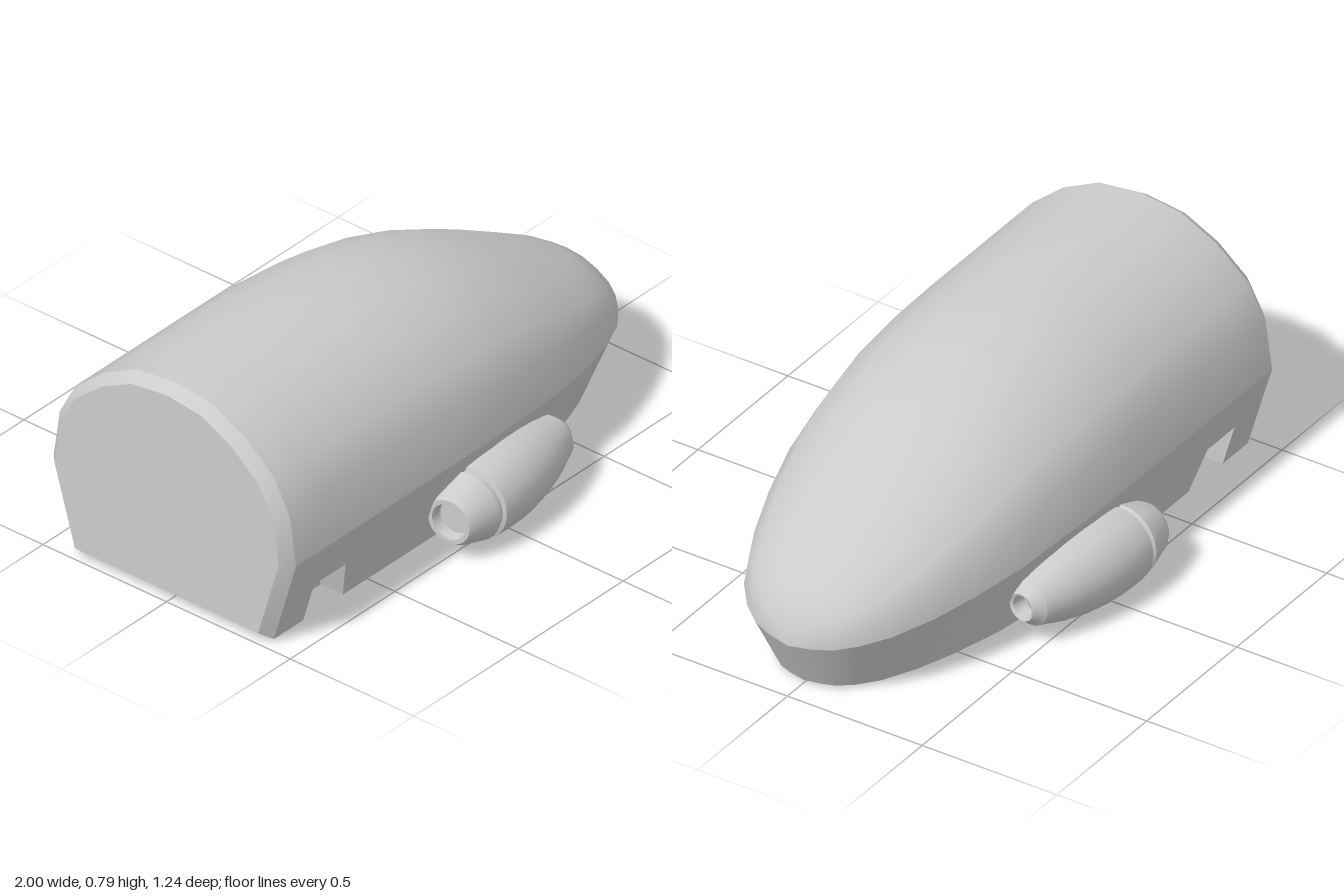
import * as THREE from 'three';
import { toCreasedNormals } from 'three/addons/utils/BufferGeometryUtils.js';

// Hull stations from tail to nose: x, half width at the belt, belt height, roof height
const STATIONS = [
  [-0.96, 0.49, 0.32, 0.795], [-0.82, 0.49, 0.32, 0.795], [-0.67, 0.49, 0.32, 0.795],
  [-0.4, 0.49, 0.32, 0.795], [-0.2, 0.49, 0.32, 0.785], [0, 0.485, 0.315, 0.76],
  [0.18, 0.465, 0.303, 0.72], [0.36, 0.44, 0.285, 0.655], [0.54, 0.395, 0.265, 0.57],
  [0.7, 0.34, 0.245, 0.485], [0.83, 0.275, 0.228, 0.415], [0.91, 0.21, 0.215, 0.36],
  [0.96, 0.145, 0.203, 0.3], [0.985, 0.08, 0.196, 0.245], [1, 0, 0.19, 0.19],
];
const LAST = STATIONS.length - 1;
const BASE = 0.015, NOTCH_TOP = 0.165, CEILING = 0.1, INSET = 0.09, RIM = 0.13;

// Half of the roof arch, as fractions of half width and height above the belt
const ARCH = [[1, 0], [0.95, 0.36], [0.82, 0.61], [0.58, 0.82], [0.31, 0.96], [0, 1]];
const FULL_ARCH = [...ARCH.map(([z, y]) => [-z, y]), ...ARCH.slice(0, -1).reverse()];

const material = new THREE.MeshStandardMaterial({ color: 0xcccccc, side: THREE.DoubleSide });

function part(name, geometry, crease = 0.6) {
  const mesh = new THREE.Mesh(toCreasedNormals(geometry, crease), material);
  mesh.name = name;
  return mesh;
}

// Surface through rows of points; skip(i, j) leaves a quad open
function loft(rows, skip = () => false) {
  const n = rows[0].length, index = [];
  for (let i = 0; i < rows.length - 1; i++) {
    for (let j = 0; j < n - 1; j++) {
      if (skip(i, j)) continue;
      const a = i * n + j, b = a + n;
      index.push(a, a + 1, b, a + 1, b + 1, b);
    }
  }
  const g = new THREE.BufferGeometry();
  g.setAttribute('position', new THREE.Float32BufferAttribute(rows.flat(2), 3));
  g.setIndex(index);
  g.computeVertexNormals();
  return g;
}

// Belt outline moved inward by d, at station k on the given side
function inset(k, d, side) {
  const [x, w] = STATIONS[k];
  if (k === LAST) return [x - d, 0];
  const p = STATIONS[Math.max(k - 1, 0)], q = STATIONS[k + 1];
  const dx = q[0] - p[0], dw = q[1] - p[1], len = Math.hypot(dx, dw);
  return [x + (d * dw) / len, side * (w - (d * dx) / len)];
}

// Walk along the +z side to the nose and back along the -z side
const WALK = [];
for (let k = 0; k <= LAST; k++) WALK.push([k, 1]);
for (let k = LAST - 1; k >= 0; k--) WALK.push([k, -1]);
const isNotch = (i) => i === 1 || i === 2 * LAST - 2;

function skirtPoint(k, side, y) {
  const b = STATIONS[k][2];
  const [x, z] = inset(k, (INSET * (b - y)) / (b - BASE), side);
  return [k === 2 && y === BASE ? x + 0.04 : x, y, z];
}

// Half width of the skirt at any x and y
function skirtWidth(x, y) {
  let k = 0;
  while (k < LAST - 1 && STATIONS[k + 1][0] < x) k++;
  const p = STATIONS[k], q = STATIONS[k + 1], t = (x - p[0]) / (q[0] - p[0]);
  const w = p[1] + (q[1] - p[1]) * t, b = p[2] + (q[2] - p[2]) * t;
  return w - (INSET * (b - y)) / (b - BASE);
}

function addHull(group) {
  const roof = STATIONS.map(([x, w, b, h]) => FULL_ARCH.map(([z, y]) => [x, b + (h - b) * y, w * z]));
  group.add(part('roof', loft(roof), 1.5));

  const skirt = WALK.map(([k, s]) => [STATIONS[k][2], NOTCH_TOP, BASE].map((y) => skirtPoint(k, s, y)));
  group.add(part('skirt', loft(skirt, (i, j) => j === 1 && isNotch(i))));

  // Chamfered tail edge and flat tail plate
  const ring = [skirtPoint(0, -1, BASE), ...roof[0], skirtPoint(0, 1, BASE)];
  const small = ring.map(([, y, z]) => [-1, 0.4 + (y - 0.4) * 0.925, z * 0.925]);
  const close = (r) => [...r, r[0]];
  group.add(part('tailChamfer', loft([close(small), close(ring)])));
  const plate = new THREE.ShapeGeometry(new THREE.Shape(small.map((p) => new THREE.Vector2(p[2], p[1]))));
  plate.rotateY(-Math.PI / 2).translate(-1, 0, 0);
  group.add(part('tailPlate', plate));
}

function addUnderside(group) {
  const rimInner = (k, s) => {
    const [x, z] = inset(k, RIM, s);
    return [k === 0 ? x + 0.04 : k === 2 ? x + 0.04 : x, BASE, z];
  };
  const rim = WALK.map(([k, s]) => [skirtPoint(k, s, BASE), rimInner(k, s)]);
  rim.push(rim[0]);
  group.add(part('bottomRim', loft(rim, (i) => isNotch(i))));

  // Recess outline steps inward around the two side pockets
  const outline = [];
  for (const [k, s] of WALK) {
    const [x, , z] = rimInner(k, s);
    const step = k === 1 ? [-0.83, s * 0.3] : k === 2 ? [-0.62, s * 0.3] : null;
    const pts = step ? [[step[0], z], step] : [[x, z]];
    const entering = (k === 1) === (s === 1);
    outline.push(...(entering ? pts : pts.reverse()));
  }
  const wall = [...outline, outline[0]].map(([x, z]) => [[x, BASE, z], [x, CEILING, z]]);
  group.add(part('recessWall', loft(wall), 0.4));
  const ceiling = new THREE.ShapeGeometry(new THREE.Shape(outline.map((p) => new THREE.Vector2(...p))));
  ceiling.rotateX(Math.PI / 2).translate(0, CEILING, 0);
  group.add(part('recessCeiling', ceiling));
}

// Open pocket behind the notch in the skirt
function makePocket(s) {
  const zTop = skirtWidth(-0.8, NOTCH_TOP), zLow = skirtWidth(-0.8, BASE), zIn = 0.31;
  const low = [[-0.82, zLow], [-0.82, zIn], [-0.63, zIn], [-0.63, zLow]];
  const top = [[-0.82, zTop], [-0.82, zIn], [-0.67, zIn], [-0.67, zTop]];
  const up = ([x, z]) => [x, NOTCH_TOP, s * z], down = ([x, z]) => [x, BASE, s * z];
  const walls = low.map((p, i) => (s > 0 ? [up(top[i]), down(p)] : [down(p), up(top[i])]));
  const lid = [[up(top[0]), up(top[1])], [up(top[3]), up(top[2])]];
  if (s < 0) lid.forEach((r) => r.reverse());
  const pocket = new THREE.Group();
  pocket.name = s > 0 ? 'leftSidePocket' : 'rightSidePocket';
  pocket.add(part('pocketWalls', loft(walls)), part('pocketTop', loft(lid)));
  return pocket;
}

// Tapered side pod with hollow ends, cut off where it meets the skirt
function makePod(s) {
  const profile = [
    [0, -0.22], [0.055, -0.22], [0.062, -0.255], [0.077, -0.255], [0.09, -0.235], [0.12, -0.145],
    [0.113, -0.137], [0.113, -0.125], [0.126, -0.12], [0.133, -0.07], [0.136, 0], [0.135, 0.05],
    [0.126, 0.14], [0.107, 0.23], [0.077, 0.325], [0.065, 0.335], [0.047, 0.36], [0.037, 0.355],
    [0.03, 0.31], [0, 0.31],
  ].map((p) => new THREE.Vector2(...p));
  const g = new THREE.LatheGeometry(profile, 28);
  g.rotateZ(-Math.PI / 2).rotateY(0.115 * s).translate(0, 0.14, 0.48 * s);
  const pos = g.attributes.position;
  for (let i = 0; i < pos.count; i++) {
    const limit = skirtWidth(pos.getX(i), pos.getY(i)) - 0.012;
    pos.setZ(i, s * Math.max(s * pos.getZ(i), limit));
  }
  return part(s > 0 ? 'frontSidePod' : 'backSidePod', g, 0.5);
}

export function createModel() {
  const group = new THREE.Group();
  group.name = 'podHull';
  addHull(group);
  addUnderside(group);
  for (const s of [1, -1]) group.add(makePocket(s), makePod(s));
  return group;
}
